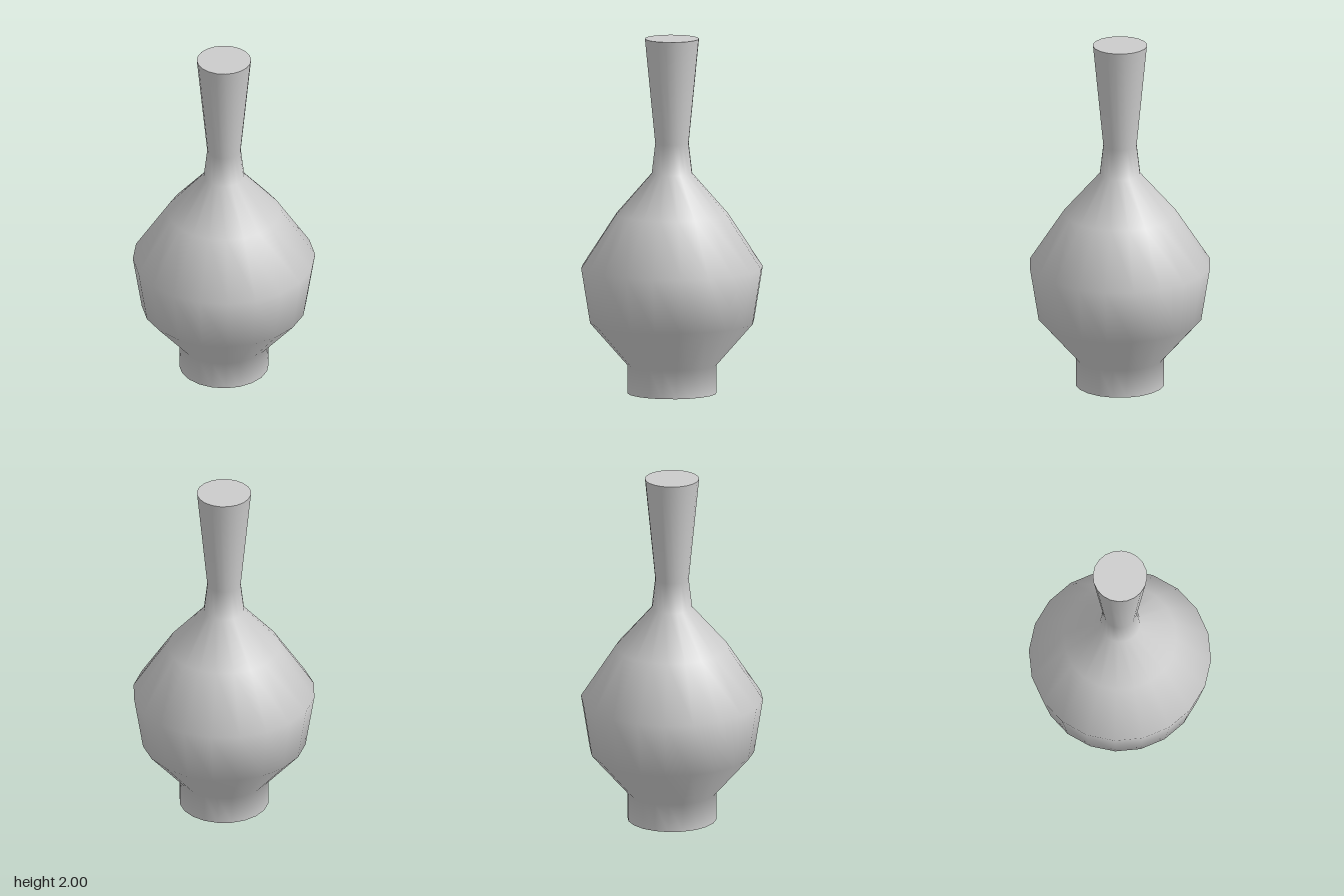
import * as THREE from 'three';

const SIDES = 20;
const PROFILE = [
  [0.25, 0], [0.25, 0.16], [0.46, 0.4], [0.51, 0.71],
  [0.315, 1.01], [0.114, 1.24], [0.094, 1.41], [0.152, 2],
];

export function createModel() {
  const group = new THREE.Group();
  group.name = 'vase';
  const material = new THREE.MeshStandardMaterial({ color: 0xcccccc });

  // Smooth turned wall: foot, belly and flared neck
  const points = PROFILE.map(([r, y]) => new THREE.Vector2(r, y));
  const body = new THREE.Mesh(new THREE.LatheGeometry(points, SIDES), material);
  body.name = 'body';
  group.add(body);

  // Flat discs closing the foot and the mouth
  const addCap = (name, [radius, y], facing) => {
    const cap = new THREE.Mesh(new THREE.CircleGeometry(radius, SIDES), material);
    cap.name = name;
    cap.rotation.x = -facing * Math.PI / 2;
    cap.position.y = y;
    group.add(cap);
  };
  addCap('footBottom', PROFILE[0], -1);
  addCap('mouthTop', PROFILE[PROFILE.length - 1], 1);

  return group;
}
